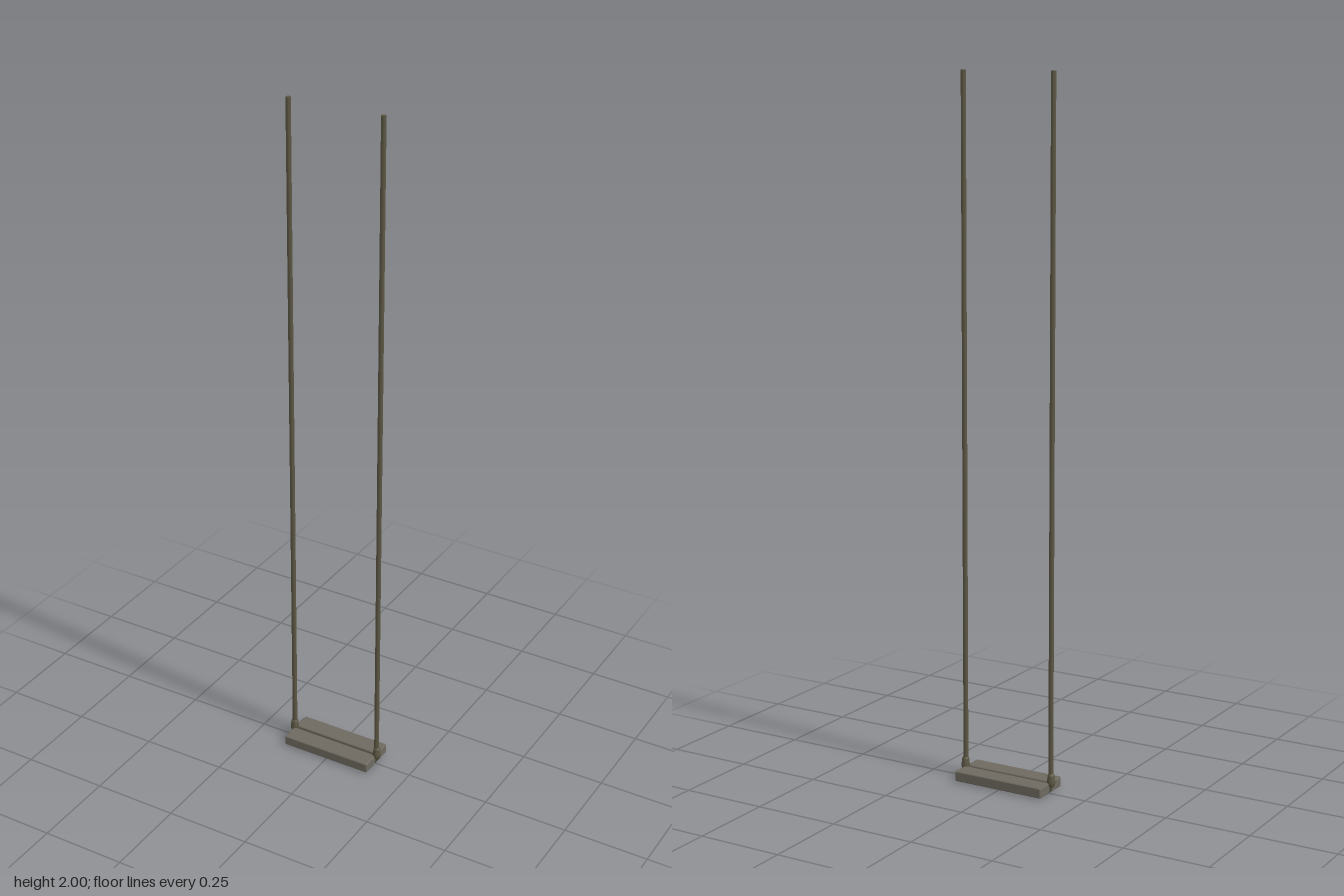
import * as THREE from 'three';
import { RoundedBoxGeometry } from 'three/addons/geometries/RoundedBoxGeometry.js';

const wood = new THREE.MeshStandardMaterial({ color: 0x6e6a60 });
const ropeMat = new THREE.MeshStandardMaterial({ color: 0x5c5744 });

function add(parent, name, geometry, material, x = 0, y = 0, z = 0) {
  const mesh = new THREE.Mesh(geometry, material);
  mesh.name = name;
  mesh.position.set(x, y, z);
  parent.add(mesh);
  return mesh;
}

// One hanging rope, with its knot and the tail tucked between the planks
function makeRope(side) {
  const rope = new THREE.Group();
  rope.name = side > 0 ? 'leftRope' : 'rightRope';
  const bottom = 0.04;
  add(rope, 'ropeLine', new THREE.CylinderGeometry(0.007, 0.007, 2 - bottom, 12),
    ropeMat, side * 0.14, (2 + bottom) / 2);

  // Bulging knot resting on the seat's end
  const profile = [[0, 0.02], [0.008, 0.021], [0.0115, 0.027], [0.0125, 0.034],
    [0.0115, 0.042], [0.0105, 0.046], [0.0105, 0.052], [0.009, 0.057], [0.006, 0.059]]
    .map(([r, y]) => new THREE.Vector2(r, y));
  add(rope, 'knot', new THREE.LatheGeometry(profile, 16), ropeMat, side * 0.141);

  // Tail bending inwards below the knot
  const tail = new THREE.CatmullRomCurve3([
    new THREE.Vector3(side * 0.142, 0.035, 0),
    new THREE.Vector3(side * 0.141, 0.02, 0),
    new THREE.Vector3(side * 0.136, 0.008, 0),
    new THREE.Vector3(side * 0.131, 0.005, 0),
  ]);
  add(rope, 'ropeTail', new THREE.TubeGeometry(tail, 8, 0.005, 8), ropeMat);
  add(rope, 'ropeTip', new THREE.SphereGeometry(0.005, 8, 6), ropeMat, side * 0.131, 0.005);
  return rope;
}

export function createModel() {
  const swing = new THREE.Group();
  swing.name = 'swing';

  // Seat of two planks with softened edges and a narrow gap
  const seat = new THREE.Group();
  seat.name = 'seat';
  const plank = new RoundedBoxGeometry(0.28, 0.03, 0.055, 2, 0.004);
  add(seat, 'frontPlank', plank, wood, 0, 0.018, 0.0315);
  add(seat, 'backPlank', plank, wood, 0, 0.018, -0.0325);
  swing.add(seat);

  for (const side of [-1, 1]) swing.add(makeRope(side));
  return swing;
}
